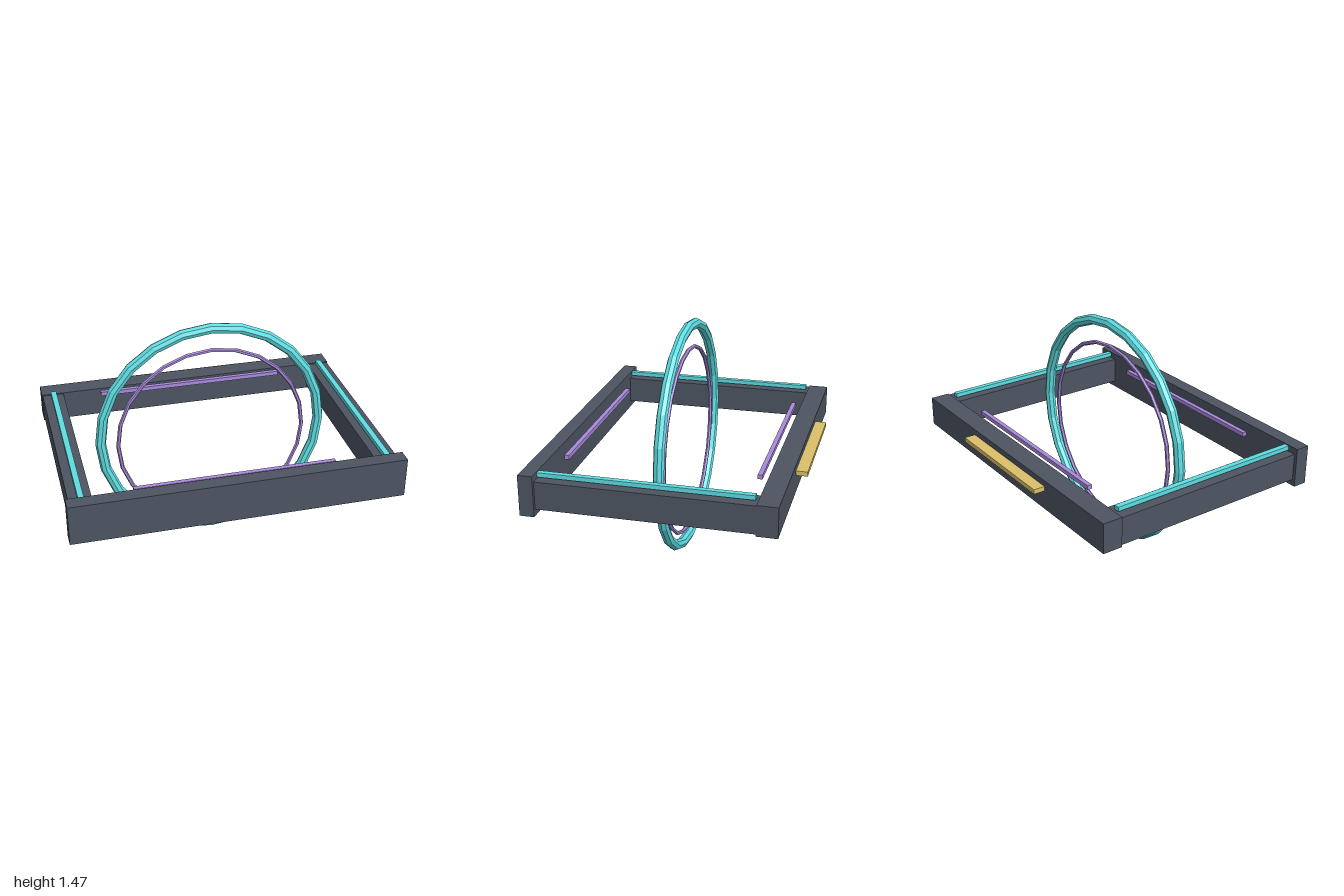
import * as THREE from 'three';

const material = (color) => new THREE.MeshStandardMaterial({ color, flatShading: true });

export function createModel() {
  const model = new THREE.Group();
  const dark = material(0x4d5562);
  const teal = material(0x5fdde2);
  const purple = material(0xa98bdc);
  const gold = material(0xdcc06a);

  const add = (name, geometry, mat, x, y, z) => {
    const mesh = new THREE.Mesh(geometry, mat);
    mesh.name = name;
    mesh.position.set(x, y, z);
    model.add(mesh);
  };
  // Box given by its limits on each axis
  const box = (name, mat, [x0, x1], [y0, y1], [z0, z1]) =>
    add(name, new THREE.BoxGeometry(x1 - x0, y1 - y0, z1 - z0), mat,
      (x0 + x1) / 2, (y0 + y1) / 2, (z0 + z1) / 2);

  // Rectangular frame
  box('frontBeam', dark, [-1, 1], [0.56, 0.81], [0.687, 0.775]);
  box('backBeam', dark, [-0.985, 0.985], [0.59, 0.776], [-0.705, -0.582]);
  for (const [side, s] of [['left', 1], ['right', -1]]) {
    const span = (a, b) => [a * s, b * s].sort((p, q) => p - q);
    box(side + 'Beam', dark, span(0.845, 0.98), [0.6, 0.77], [-0.6, 0.77]);
    box(side + 'LightStrip', teal, span(0.893, 0.927), [0.777, 0.804], [-0.567, 0.69]);
  }

  // Thin bars inside the front and back beams
  box('frontInnerBar', purple, [-0.605, 0.605], [0.755, 0.782], [0.615, 0.643]);
  box('backInnerBar', purple, [-0.605, 0.605], [0.755, 0.782], [-0.545, -0.517]);

  // Plate on the back beam
  box('backPlate', gold, [-0.405, 0.405], [0.71, 0.739], [-0.775, -0.7]);

  // Upright rings
  add('outerRing', new THREE.TorusGeometry(0.7, 0.033, 8, 24), teal, 0, 0.735, 0.04);
  add('innerRing', new THREE.TorusGeometry(0.592, 0.013, 6, 24), purple, 0, 0.698, 0.04);

  return model;
}
